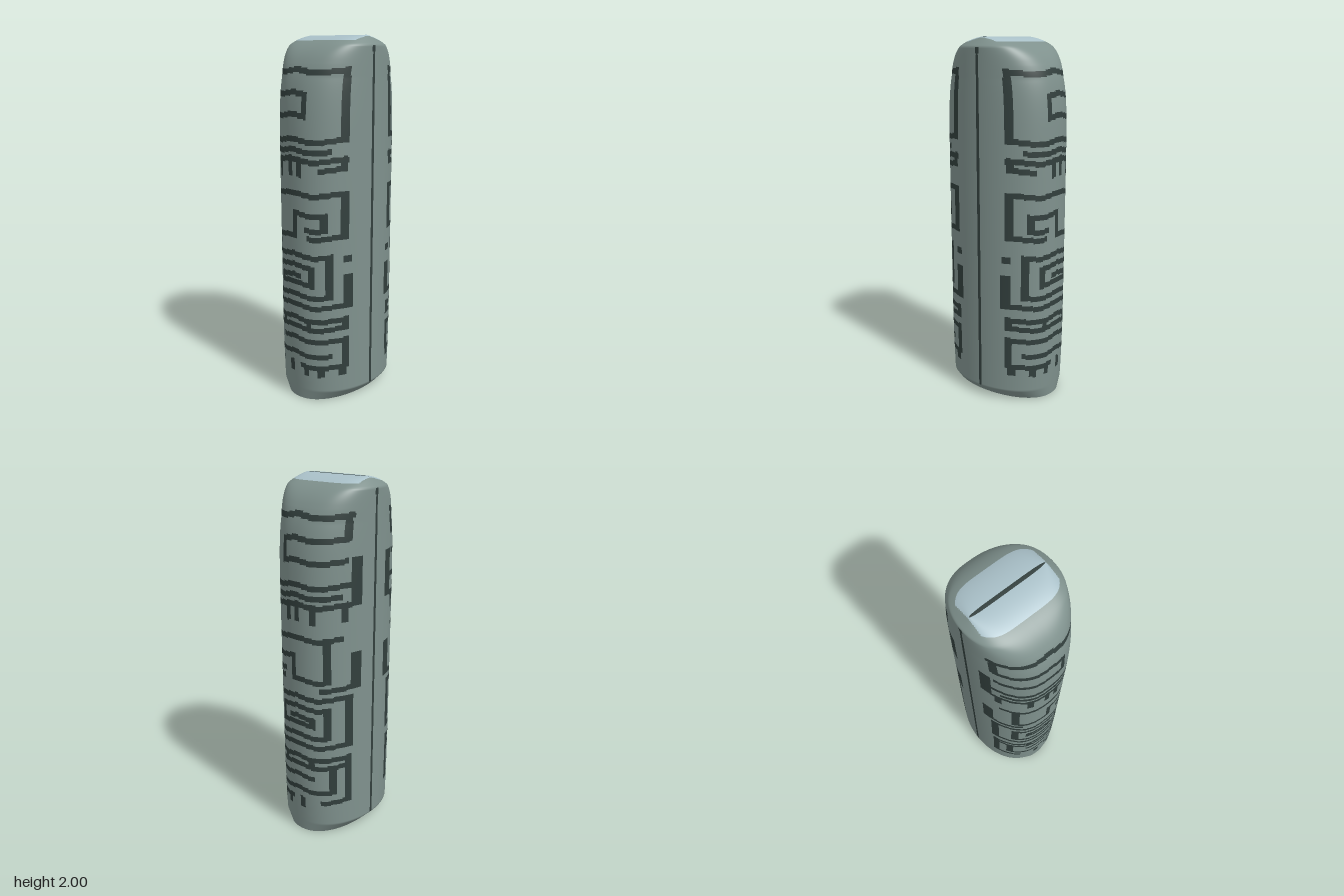
import * as THREE from 'three';

const COLS = 240, HALF_X = 0.263, HALF_Z = 0.34;
const clamp = THREE.MathUtils.clamp;

// carved lines, repeated on front and back: each path is x, y, x, y, ...
function carvedPaths() {
  const paths = [
    // top fret
    [0.228, 1.82, 0.228, 1.47],
    [-0.225, 1.82, -0.225, 1.707, 0.075, 1.707, 0.075, 1.596, -0.22, 1.596],
    [-0.245, 1.596, -0.245, 1.37],
    [-0.2, 1.415, 0.18, 1.415],
    [0.227, 1.37, 0.227, 1.32, 0.16, 1.32],
    // second fret
    [-0.21, 1.188, 0.228, 1.188, 0.228, 0.955, 0.1, 0.955],
    [-0.165, 1.188, -0.165, 0.955, 0.015, 0.955, 0.015, 1.08, 0.165, 1.08, 0.165, 1, 0.09, 1],
    [-0.245, 1.09, -0.245, 0.905, -0.15, 0.905],
    // marks beside the spiral
    [0.234, 0.825, 0.234, 0.83],
    [0.236, 0.73, 0.236, 0.565],
    // bottom frets
    [0.23, 0.485, 0.23, 0.436],
    [-0.15, 0.209, -0.23, 0.209, -0.23, 0.485],
    [-0.185, 0.436, -0.185, 0.275, 0.18, 0.275],
    [-0.09, 0.365, 0.23, 0.365, 0.23, 0.208, 0.05, 0.208],
  ];
  // bars across the whole face
  for (const y of [1.82, 1.47, 1.368, 0.565, 0.485, 0.436]) paths.push([-0.23, y, 0.228, y]);
  // short legs under the bars
  for (const x of [-0.22, -0.105, -0.015, 0.045]) paths.push([x, 1.37, x, 1.29]);
  for (const x of [-0.03, 0.075, 0.15, 0.222]) paths.push([x, 0.208, x, 0.168]);
  for (const x of [-0.09, 0.095]) paths.push([x, 0.485, x, 0.436]);
  // square spiral winding inwards
  const spiral = [-0.232, 0.565];
  for (let i = 0; i < 3; i++) {
    const left = -0.232 + 0.067 * i, right = 0.185 - 0.073 * i;
    const top = 0.851 - 0.06 * i, bottom = 0.623 + 0.07 * i;
    spiral.push(left, top, right, top);
    if (i < 2) spiral.push(right, bottom, left + 0.067, bottom);
  }
  paths.push(spiral);
  return paths;
}

// every path leg becomes a rectangle; lines near the rounded edge are narrower
function carvedBoxes() {
  const pad = (x) => (Math.abs(x) > 0.2 ? 0.009 : 0.015);
  const boxes = [];
  for (const p of carvedPaths()) {
    for (let i = 0; i + 3 < p.length; i += 2) {
      const x0 = Math.min(p[i], p[i + 2]), x1 = Math.max(p[i], p[i + 2]);
      const y0 = Math.min(p[i + 1], p[i + 3]), y1 = Math.max(p[i + 1], p[i + 3]);
      boxes.push({ x0: x0 - pad(x0), x1: x1 + pad(x1), y0: y0 - 0.015, y1: y1 + 0.015 });
    }
  }
  return boxes;
}

// rows of the shell as [y, half depth]: even steps up the shaft, then over the dome
function shellRows() {
  const rows = [];
  for (let i = 0; i <= 248; i++) {
    const y = i * 0.0075;
    const taper = 1 - 0.045 * Math.max(0, 1 - y / 0.5) ** 2;
    rows.push([y, HALF_Z * Math.sqrt(1 - (y / 2) ** 16) * taper]);
  }
  for (let i = 27; i >= 0; i--) {
    const z = i / 100;
    rows.push([2 * (1 - (z / HALF_Z) ** 2) ** (1 / 16), z]);
  }
  return rows;
}

// half width with bevelled lower and upper corners
const halfWidth = (y) =>
  HALF_X - 0.058 * clamp(1 - y / 0.06, 0, 1) - 0.052 * clamp((y - 1.95) / 0.05, 0, 1);

export function createModel() {
  const makeMaterial = (name, color) => {
    const material = new THREE.MeshStandardMaterial({ color, side: THREE.DoubleSide });
    material.name = name;
    return material;
  };
  const materials = [
    makeMaterial('greyStone', 0x7f918d),
    makeMaterial('darkCarving', 0x323f3d),
    makeMaterial('paleCap', 0xa9c0c8),
  ];

  // superellipse rings, squarer towards the top
  const rows = shellRows();
  const position = [];
  for (const [y, depth] of rows) {
    const n = THREE.MathUtils.lerp(5, 2.3, clamp((depth - 0.14) / 0.17, 0, 1));
    for (let j = 0; j < COLS; j++) {
      const t = (j / COLS) * Math.PI * 2, s = Math.sin(t);
      position.push(halfWidth(y) * Math.sign(s) * Math.abs(s) ** (2 / n), y, depth * Math.cos(t));
    }
  }

  // sort each cell into stone, carving or cap
  const boxes = carvedBoxes();
  const faces = [[], [], []];
  for (let i = 0; i < rows.length - 1; i++) {
    const depth = (rows[i][1] + rows[i + 1][1]) / 2;
    for (let j = 0; j < COLS; j++) {
      const k = (j + 1) % COLS;
      const a = i * COLS + j, b = i * COLS + k, c = a + COLS, d = b + COLS;
      const mid = (axis) => [a, b, c, d].reduce((sum, v) => sum + position[v * 3 + axis], 0) / 4;
      const x = mid(0), y = mid(1), z = mid(2);
      const bent = y - 0.008 * Math.cos(25 * x);
      const sideLine = y > 0.06 && y < 1.95 && Math.abs(z) < 0.0095;
      const topLine = y > 1.9 && depth < 0.01;
      const carved = boxes.some((r) => x > r.x0 && x < r.x1 && bent > r.y0 && bent < r.y1);
      let kind = 0;
      if (sideLine || topLine || carved) kind = 1;
      else if (y > 1.9 && depth < 0.147 && Math.abs(x) < 0.217) kind = 2;
      faces[kind].push(a, b, c, b, d, c);
    }
  }

  const geometry = new THREE.BufferGeometry();
  geometry.setAttribute('position', new THREE.Float32BufferAttribute(position, 3));
  geometry.setIndex(faces.flat());
  let start = 0;
  faces.forEach((list, kind) => {
    geometry.addGroup(start, list.length, kind);
    start += list.length;
  });
  geometry.computeVertexNormals();

  const shell = new THREE.Mesh(geometry, materials);
  shell.name = 'carvedPillarShell';
  const group = new THREE.Group();
  group.name = 'carvedPillar';
  group.add(shell);
  return group;
}
